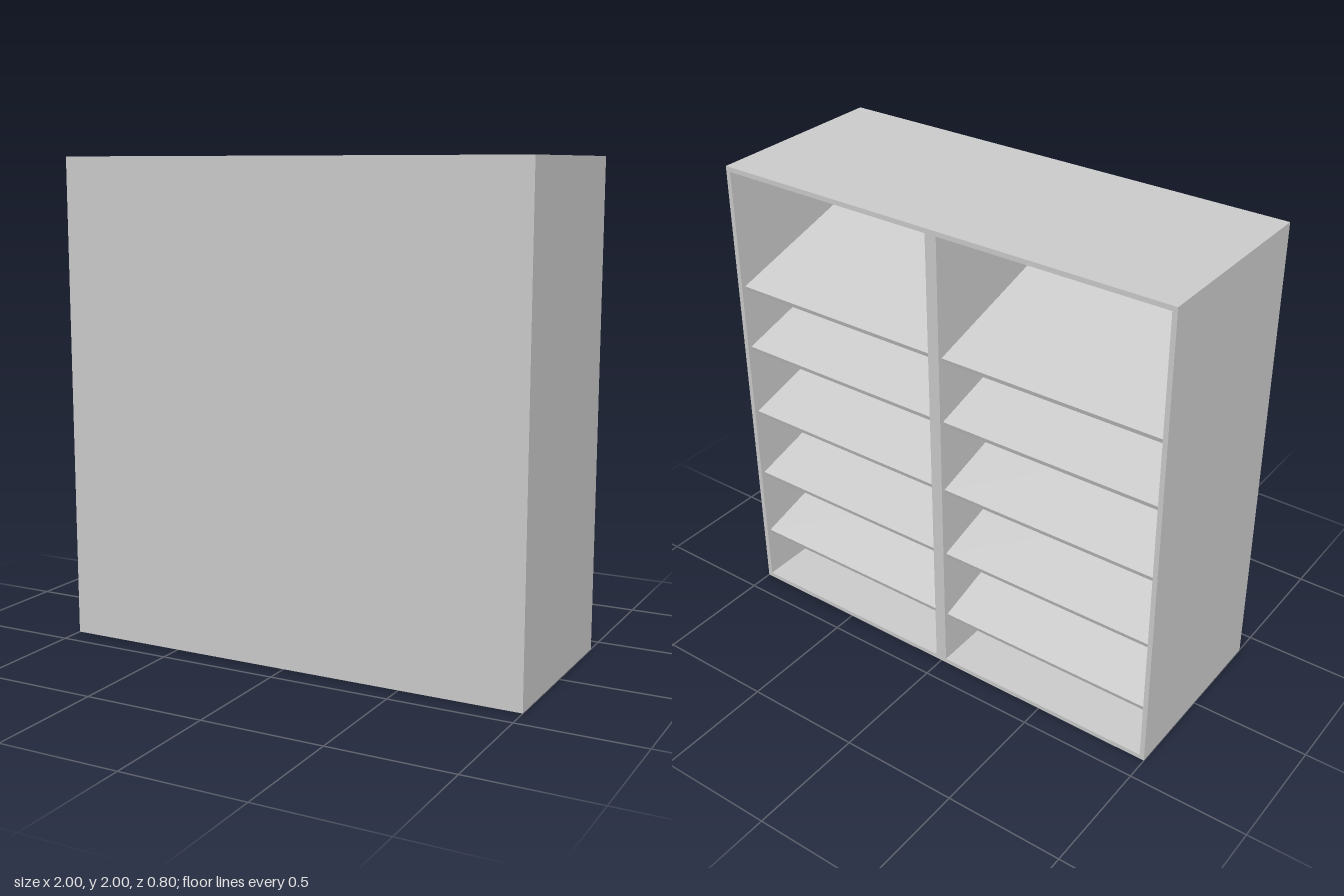
import * as THREE from 'three';

export function createModel() {
  const group = new THREE.Group();
  group.name = 'shelfCabinet';
  const material = new THREE.MeshStandardMaterial({ color: 0xcccccc, flatShading: true });

  const W = 2, H = 2, D = 0.8, T = 0.02; // overall size and board thickness
  const divider = 0.05;

  function board(name, w, h, d, x, y, z) {
    const mesh = new THREE.Mesh(new THREE.BoxGeometry(w, h, d), material);
    mesh.name = name;
    mesh.position.set(x, y, z);
    group.add(mesh);
    return mesh;
  }

  // Carcass: closed at the front, open at the back
  const innerW = W - 2 * T, innerH = H - 2 * T, innerD = D - T;
  board('frontPanel', W, H, T, 0, H / 2, D / 2 - T / 2);
  board('topPanel', W, T, innerD, 0, H - T / 2, -T / 2);
  board('bottomPanel', W, T, innerD, 0, T / 2, -T / 2);
  board('centreDivider', divider, innerH, innerD, 0, H / 2, -T / 2);
  for (const [side, s] of [['left', 1], ['right', -1]]) {
    board(side + 'SidePanel', T, innerH, innerD, s * (W / 2 - T / 2), H / 2, -T / 2);
  }

  // Sloping shelves, rising from the open back to the front panel
  const slope = Math.atan(0.29);
  const run = D - 2 * T;
  const bayW = (innerW - divider) / 2;
  const bayX = divider / 2 + bayW / 2;
  const lowEdges = [0.255, 0.57, 0.885, 1.2, 1.48]; // height of each shelf's back edge
  for (const [side, s] of [['left', 1], ['right', -1]]) {
    lowEdges.forEach((low, i) => {
      const y = low + (run / 2) * Math.tan(slope) - T / 2;
      const shelf = board(`${side}Shelf${i + 1}`, bayW, T, run / Math.cos(slope), s * bayX, y, 0);
      shelf.rotation.x = -slope;
    });
  }
  return group;
}
